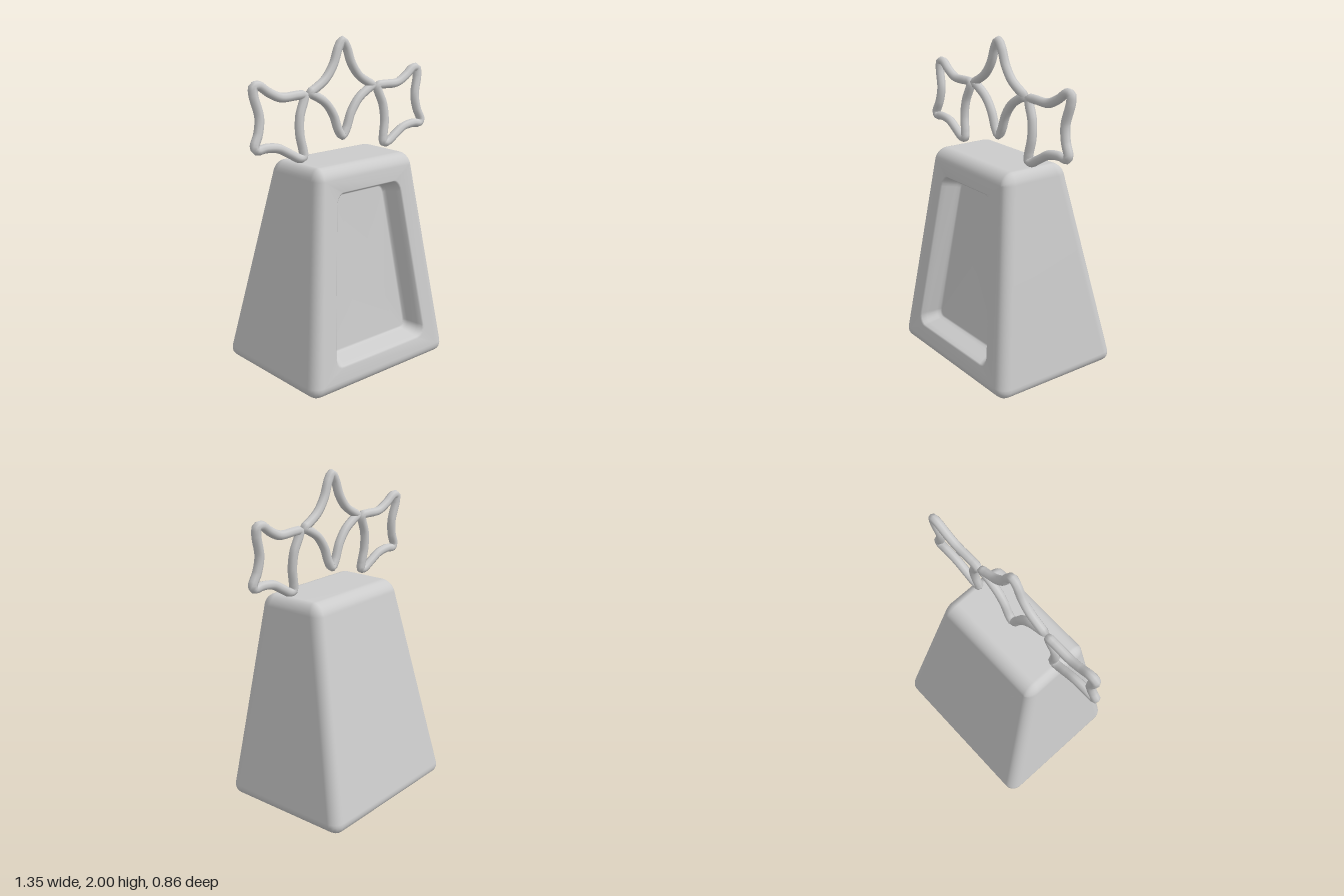
import * as THREE from 'three';

const material = new THREE.MeshStandardMaterial({ color: 0xcccccc });
const H = 1.3;            // body height
const HALF_X = 0.548;     // half width at the foot
const R = 0.07;           // edge rounding
const CORNER = 5;         // segments per loop corner

const lerp = THREE.MathUtils.lerp;

// Maps a point of the straight block onto the tapered body.
function taper(x, y, side, inset) {
  const t = y / H;
  const face = side > 0 ? lerp(0.438, 0.272, t) : lerp(-0.443, -0.152, t);
  return [x * lerp(1, 0.671, t), y, face - side * inset];
}

// Cross-sections from the recess floor, over the front rim and sides, to the back.
function bodyLoops() {
  const loops = [];
  // recess wall with a soft rim and a soft floor edge
  const walls = [[1, 1], [0.85, 0.95], [0.7, 0.8], [0.35, 0.3], [0.15, 0.06], [0, 0]];
  for (const [t, d] of walls) {
    loops.push({
      hx: lerp(0.372, 0.297, t), hy: lerp(0.505, 0.45, t), r: lerp(0.07, 0.04, t),
      side: 1, inset: 0.12 * d, lean: lerp(0.095, 0.145, t),
    });
  }
  const edge = (side, a) => loops.push({
    hx: HALF_X - R * (1 - Math.cos(a)), hy: H / 2 - R * (1 - Math.cos(a)),
    r: Math.max(R * Math.cos(a), 0.002), side, inset: R * (1 - Math.sin(a)), lean: 0,
  });
  const steps = 6;
  for (let i = steps; i >= 0; i--) edge(1, (i / steps) * Math.PI / 2);
  for (let i = 0; i <= steps; i++) edge(-1, (i / steps) * Math.PI / 2);
  return loops;
}

function bodyGeometry() {
  const loops = bodyLoops();
  const n = 4 * (CORNER + 1);
  const positions = [], index = [];
  for (const { hx, hy, r, side, inset, lean } of loops) {
    for (let c = 0; c < 4; c++) {
      const sx = c === 0 || c === 3 ? 1 : -1;
      const sy = c < 2 ? 1 : -1;
      for (let k = 0; k <= CORNER; k++) {
        const a = (c + k / CORNER) * Math.PI / 2;
        const v = sy * (hy - r) + r * Math.sin(a);
        const u = (sx * (hx - r) + r * Math.cos(a)) * (1 - lean * v);
        positions.push(...taper(u, v + H / 2, side, inset));
      }
    }
  }
  for (let i = 0; i < loops.length - 1; i++) {
    for (let j = 0; j < n; j++) {
      const k = (j + 1) % n;
      const a = i * n + j, b = i * n + k, c = a + n, d = b + n;
      index.push(a, c, d, a, d, b);
    }
  }
  // close the recess floor and the back
  const front = positions.length / 3, back = front + 1;
  const last = (loops.length - 1) * n;
  positions.push(...taper(0, H / 2, 1, 0.12), ...taper(0, H / 2, -1, 0));
  for (let j = 0; j < n; j++) {
    const k = (j + 1) % n;
    index.push(front, j, k, back, last + k, last + j);
  }
  const geometry = new THREE.BufferGeometry();
  geometry.setAttribute('position', new THREE.Float32BufferAttribute(positions, 3));
  geometry.setIndex(index);
  geometry.computeVertexNormals();
  return geometry;
}

// Closed wire ring through a list of [x, y] points.
function ring(name, points, depth) {
  const path = new THREE.CatmullRomCurve3(
    points.map(([x, y]) => new THREE.Vector3(x, y, depth(y))), true);
  const mesh = new THREE.Mesh(new THREE.TubeGeometry(path, 96, 0.027, 8, true), material);
  mesh.name = name;
  return mesh;
}

export function createModel() {
  const model = new THREE.Group();
  model.name = 'trophy';

  const body = new THREE.Mesh(bodyGeometry(), material);
  body.name = 'body';
  model.add(body);

  // Upright centre star, one quarter mirrored around its middle
  const quarter = [[0, 0.278], [0.03, 0.242], [0.07, 0.145], [0.13, 0.068], [0.21, 0.018], [0.245, 0]];
  const right = [...quarter, ...quarter.slice(0, -1).reverse().map(([x, y]) => [x, -y])];
  const left = right.slice(1, -1).reverse().map(([x, y]) => [-x, y]);
  const star = [...right, ...left].map(([x, y]) => [x, y + 1.695]);
  model.add(ring('centreStar', star, () => 0.05));

  // Tilted side stars, mirrored
  const sideStar = [
    [0.285, 1.685], [0.33, 1.69], [0.45, 1.69], [0.53, 1.725], [0.595, 1.768],
    [0.63, 1.765], [0.633, 1.72], [0.605, 1.6], [0.62, 1.51], [0.65, 1.44],
    [0.635, 1.42], [0.58, 1.425], [0.49, 1.412], [0.42, 1.375], [0.345, 1.335],
    [0.315, 1.34], [0.317, 1.38], [0.333, 1.47], [0.325, 1.57],
  ];
  const depth = (y) => 0.04 + (1.78 - y) * 0.08;
  for (const s of [1, -1]) {
    const points = sideStar.map(([x, y]) => [s * x, y]);
    model.add(ring(s > 0 ? 'leftStar' : 'rightStar', points, depth));
  }
  return model;
}
